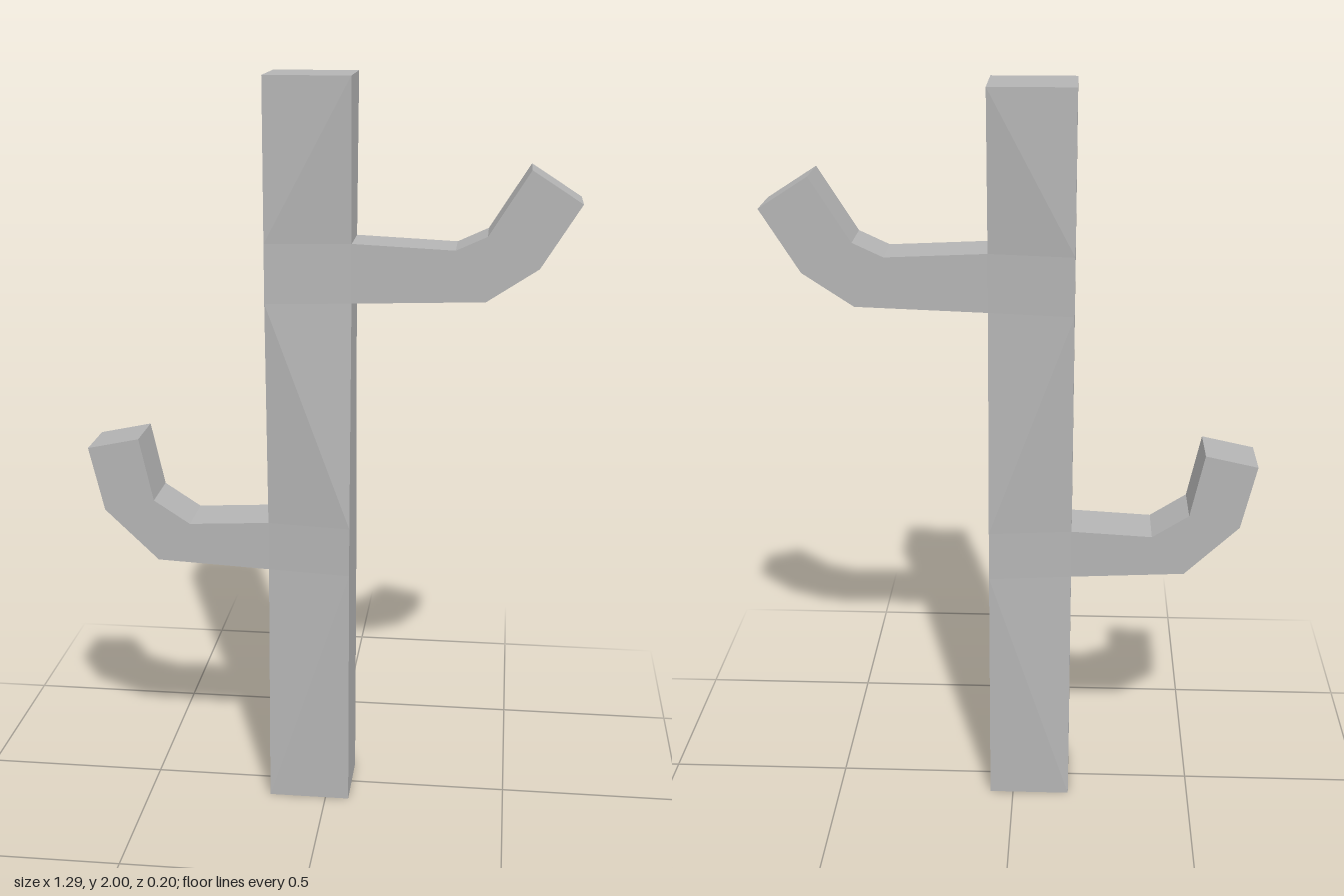
import * as THREE from 'three';

const grey = new THREE.MeshStandardMaterial({ color: 0xb4b4b4 });
grey.name = 'plain grey';

// Skins four-cornered rings (anticlockwise seen from the far end) with flat faces.
function loft(name, rings, { startCap = false, flip = () => false, open = () => false } = {}) {
  const pos = [];
  const tri = (...corners) => corners.forEach((c) => pos.push(...c));
  const quad = (a, b, c, d, other) => {
    if (other) { tri(a, b, d); tri(b, c, d); } else { tri(a, b, c); tri(a, c, d); }
  };
  for (let i = 0; i < rings.length - 1; i++) {
    for (let j = 0; j < 4; j++) {
      if (open(i, j)) continue;
      const k = (j + 1) % 4;
      quad(rings[i][j], rings[i][k], rings[i + 1][k], rings[i + 1][j], flip(i, j));
    }
  }
  quad(...rings[rings.length - 1]);
  if (startCap) quad(...[...rings[0]].reverse());
  const geometry = new THREE.BufferGeometry();
  geometry.setAttribute('position', new THREE.Float32BufferAttribute(pos, 3));
  geometry.computeVertexNormals();
  const mesh = new THREE.Mesh(geometry, grey);
  mesh.name = name;
  return mesh;
}

// Arm of constant depth; each station is [lower x, lower y, upper x, upper y].
function arm(name, half, side, stations) {
  const z = half * side;
  return loft(name, stations.map(([lx, ly, ux, uy]) =>
    [[lx, ly, z], [lx, ly, -z], [ux, uy, -z], [ux, uy, z]]));
}

export function createModel() {
  const group = new THREE.Group();
  group.name = 'branchedPost';
  const L = -0.158, R = 0.065;

  // Post: pinched in depth where each arm joins; [height, left half depth, right half depth]
  const levels = [
    [0, 0.1, 0.1], [0.68, 0.075, 0.1], [0.815, 0.075, 0.1],
    [1.425, 0.1, 0.07], [1.58, 0.1, 0.07], [2, 0.1, 0.1],
  ];
  group.add(loft('post',
    levels.map(([y, l, r]) => [[L, y, l], [R, y, r], [R, y, -r], [L, y, -l]]),
    {
      startCap: true,
      flip: (i, j) => (i === 2) !== (j >= 2),
      open: (i, j) => (i === 3 && j === 1) || (i === 1 && j === 3), // arm sockets
    }));

  // Arms, rooted on the post sockets
  group.add(arm('upperLeftArm', 0.07, 1, [
    [R, 1.425, R, 1.58], [0.41, 1.437, 0.33, 1.568],
    [0.543, 1.525, 0.41, 1.605], [0.645, 1.69, 0.515, 1.773],
  ]));
  group.add(arm('lowerRightArm', 0.075, -1, [
    [L, 0.68, L, 0.815], [-0.465, 0.695, -0.375, 0.803],
    [-0.61, 0.835, -0.473, 0.867], [-0.65, 1.01, -0.51, 1.04],
  ]));
  return group;
}
